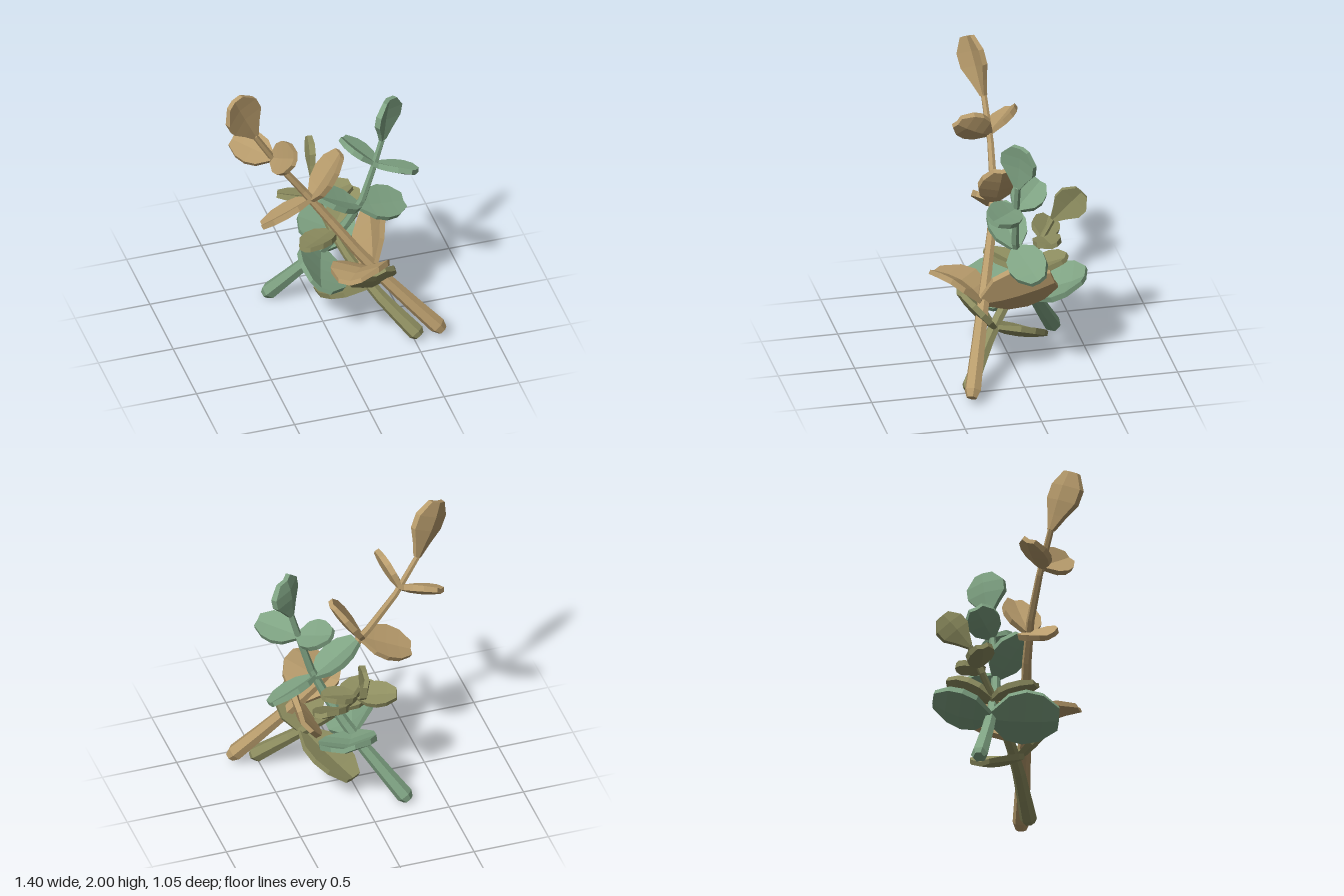
import * as THREE from 'three';

const V = (x, y, z) => new THREE.Vector3(x, y, z);

// Closed skin over equal-sized rings (counter-clockwise seen from the far end)
function loft(rings) {
  const pos = [];
  const tri = (...pts) => pts.forEach((p) => pos.push(p.x, p.y, p.z));
  const n = rings[0].length;
  for (let i = 0; i < rings.length - 1; i++) {
    for (let j = 0; j < n; j++) {
      const k = (j + 1) % n;
      tri(rings[i][j], rings[i][k], rings[i + 1][k]);
      tri(rings[i][j], rings[i + 1][k], rings[i + 1][j]);
    }
  }
  const first = rings[0], last = rings[rings.length - 1];
  for (let j = 1; j < n - 1; j++) {
    tri(first[0], first[j + 1], first[j]);
    tri(last[0], last[j], last[j + 1]);
  }
  const g = new THREE.BufferGeometry();
  g.setAttribute('position', new THREE.Float32BufferAttribute(pos, 3));
  g.computeVertexNormals();
  return g;
}

// Six-sided stem that thins upwards, with a bevelled foot
function stemGeometry(curve) {
  const rings = [0, 0.025, 0.14, 0.28, 0.42, 0.56, 0.7, 0.85, 1].map((t) => {
    const r = t === 0 ? 0.035 : 0.02 + 0.037 * (1 - t) ** 1.5;
    const c = curve.getPointAt(t), d = curve.getTangentAt(t);
    const s = V(0, 0, 1).cross(d).normalize();
    const u = d.clone().cross(s);
    return Array.from({ length: 6 }, (_, j) => {
      const a = (j / 6) * Math.PI * 2;
      return c.clone().addScaledVector(s, r * Math.cos(a)).addScaledVector(u, r * Math.sin(a));
    });
  });
  return loft(rings);
}

// Share of the half width at even steps along a leaf
const ROUND = [0.25, 0.84, 1, 0.88, 0.42];
const PADDLE = [0.17, 0.52, 0.94, 0.95, 0.45];

// Thick, slightly cupped leaf from base to tip, facing up; bend arches its middle
function leafGeometry(base, { tip, up, bend = 0 }, width, outline) {
  const d = tip.clone().sub(base).normalize();
  const s = up.clone().cross(d).normalize();
  const n = d.clone().cross(s);
  return loft(outline.map((k, i) => {
    const t = i / (outline.length - 1);
    const c = base.clone().lerp(tip, t).addScaledVector(n, bend * Math.sin(Math.PI * t));
    const w = (width / 2) * k, h = 0.012 + 0.008 * k, cup = 0.12 * w;
    const at = (x, y) => c.clone().addScaledVector(s, x).addScaledVector(n, y);
    return [at(0, -h - cup), at(w, cup - h), at(w, cup + h), at(0, h - cup), at(-w, cup + h), at(-w, cup - h)];
  }));
}

const leaf = (tip, up, bend) => ({ tip, up, bend });

// Stem with a pair of leaves at each inner node and one leaf on its end
function createSprig(name, color, leafScale, nodes, pairs, endLeaf) {
  const sprig = new THREE.Group();
  sprig.name = name;
  const material = new THREE.MeshStandardMaterial({ color, flatShading: true });
  const add = (geometry, part) => {
    const mesh = new THREE.Mesh(geometry, material);
    mesh.name = part;
    sprig.add(mesh);
  };
  add(stemGeometry(new THREE.CatmullRomCurve3(nodes)), 'stem');

  const widths = [0.38, 0.25, 0.22];
  pairs.forEach((pair, i) => {
    for (const side of pair) {
      add(leafGeometry(nodes[i + 1], side, widths[i] * leafScale, ROUND), `leafPair${i + 1}`);
    }
  });
  add(leafGeometry(nodes[nodes.length - 1], endLeaf, 0.27 * leafScale, PADDLE), 'endLeaf');
  return sprig;
}

// Leaf pairs run from the lowest node to the highest
const createTanSprig = () => createSprig('tanSprig', 0xb89c6c, 1,
  [V(0.68, 0.06, 0.385), V(0.27, 0.53, 0.22), V(-0.1, 1.05, 0.07), V(-0.35, 1.41, 0.04), V(-0.47, 1.62, 0.05)],
  [
    [leaf(V(0.03, 0.66, 0.49), V(0, 0.9, -0.4), 0.05), leaf(V(0.38, 0.69, -0.22), V(-0.88, 0.45, -0.1))],
    [leaf(V(-0.42, 0.89, 0.05), V(-0.4, 0.8, -0.4)), leaf(V(0.1, 1.36, 0.06), V(-0.8, 0.58, 0))],
    [leaf(V(-0.56, 1.47, -0.15), V(0, 0.75, 0.66)), leaf(V(-0.27, 1.55, 0.27), V(-0.88, 0.45, 0.1))],
  ],
  leaf(V(-0.63, 1.975, 0.12), V(0.43, 0, 0.9)));

const createGreenSprig = () => createSprig('greenSprig', 0x7fa383, 1,
  [V(-0.27, 0.025, -0.365), V(0.03, 0.47, -0.14), V(0.24, 0.87, 0), V(0.34, 1.2, 0.02), V(0.39, 1.38, 0.02)],
  [
    [leaf(V(-0.1, 0.49, 0.28), V(0.58, 0.8, 0.1)), leaf(V(0.2, 0.6, -0.46), V(0, 0.86, 0.45), -0.02)],
    [leaf(V(0.56, 0.78, -0.08), V(0.25, 0.9, 0.42)), leaf(V(-0.06, 1.05, 0.05), V(0.55, 0.8, 0))],
    [leaf(V(0.18, 1.3, -0.17), V(0.65, 0.75, 0.1)), leaf(V(0.55, 1.23, 0.22), V(0.1, 0.87, -0.45))],
  ],
  leaf(V(0.44, 1.68, 0.01), V(0.65, 0, 0.75)));

const createOliveSprig = () => createSprig('oliveSprig', 0x8e8e60, 0.83,
  [V(0.53, 0.04, 0.375), V(0.27, 0.34, 0.15), V(0.09, 0.64, -0.09), V(0.03, 0.82, -0.22), V(0.02, 0.94, -0.29)],
  [
    [leaf(V(0.24, 0.6, 0.37), V(-0.05, 0.7, -0.65)), leaf(V(0.05, 0.15, -0.2), V(-0.44, 0.8, -0.39))],
    [leaf(V(-0.15, 0.68, 0.1), V(0.2, 0.9, -0.35)), leaf(V(0.3, 0.79, -0.31), V(-0.1, 0.85, 0.5))],
    [leaf(V(-0.21, 0.84, -0.31), V(0.15, 0.93, -0.3)), leaf(V(0.26, 0.87, -0.23), V(-0.2, 0.95, 0.1))],
  ],
  leaf(V(0.05, 1.13, -0.47), V(0.95, 0, 0.25)));

export function createModel() {
  const model = new THREE.Group();
  model.name = 'leafSprigs';
  model.add(createTanSprig(), createGreenSprig(), createOliveSprig());
  return model;
}
